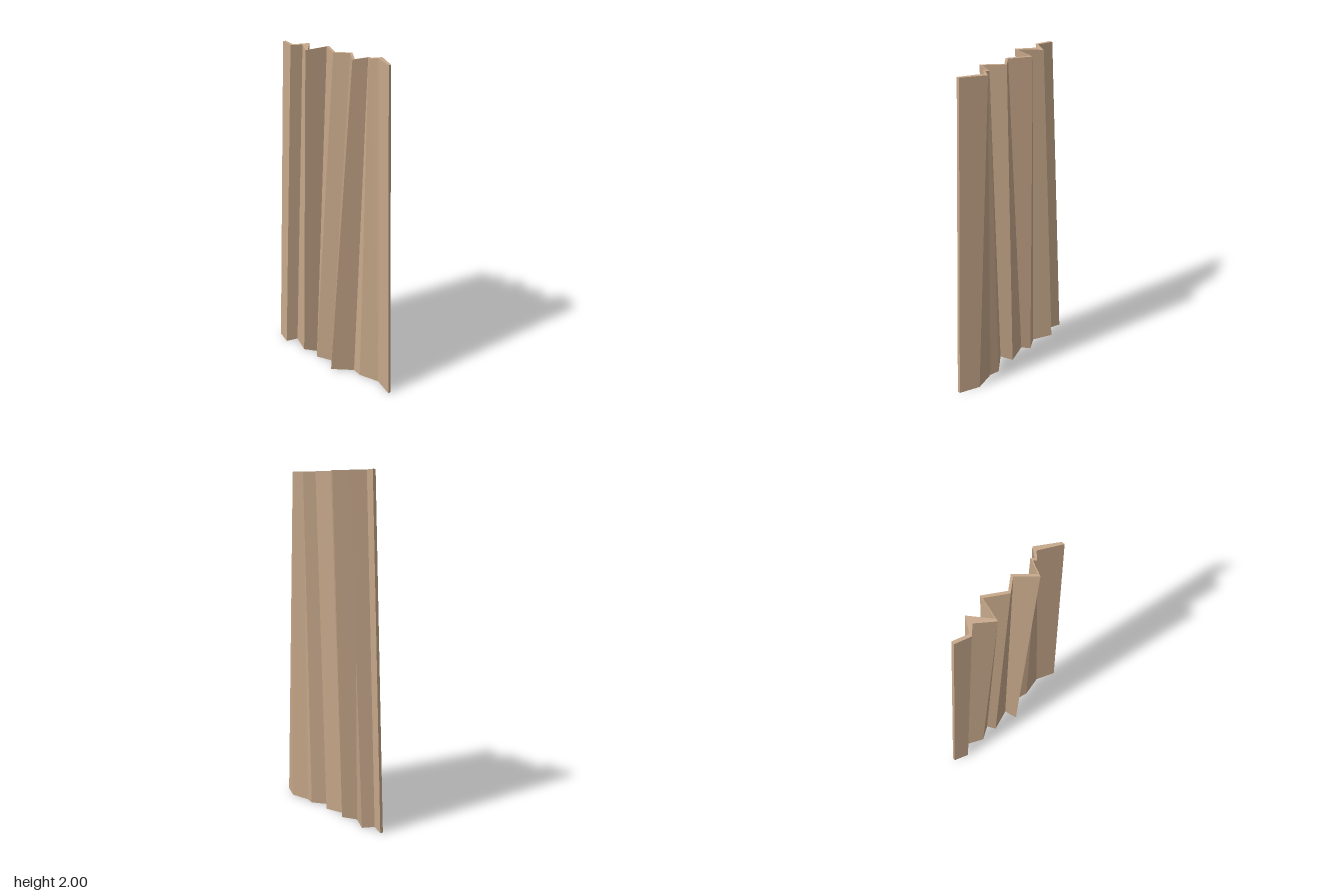
import * as THREE from 'three';

// Fold lines of the cloth from right to left: [x, front z, back z]
const topFolds = [
  [-0.345, 0.044, 0.025], [-0.258, 0.069, 0.051], [-0.213, 0.022, -0.032],
  [-0.118, 0.092, 0.074], [-0.093, -0.045, -0.063], [0.022, 0.024, 0.006],
  [0.09, -0.034, -0.052], [0.187, 0.051, 0.033], [0.217, -0.036, -0.054],
  [0.232, -0.022, -0.04], [0.265, -0.063, -0.093], [0.39, 0.001, -0.016],
];
const bottomFolds = [
  [-0.467, 0.023, 0.005], [-0.375, 0.055, 0.036], [-0.345, -0.014, -0.032],
  [-0.225, 0.04, 0.022], [-0.145, -0.01, -0.028], [-0.11, 0.039, 0.021],
  [0.02, -0.008, -0.026], [0.05, 0.071, 0.053], [0.16, -0.022, -0.04],
  [0.22, -0.01, -0.028], [0.345, -0.041, -0.06], [0.467, 0.005, -0.013],
];
const HEIGHT = 2;

function pleatedSheet() {
  const positions = [], normals = [];
  // Corners counter-clockwise as seen from outside; one even normal per panel
  const quad = (a, b, c, d) => {
    const [va, vb, vc, vd] = [a, b, c, d].map((p) => new THREE.Vector3(...p));
    const normal = vc.sub(va).cross(vd.sub(vb)).normalize();
    positions.push(...a, ...b, ...d, ...b, ...c, ...d);
    for (let k = 0; k < 6; k++) normals.push(...normal.toArray());
  };
  const corners = (i) => {
    const [bx, bf, bb] = bottomFolds[i];
    const [tx, tf, tb] = topFolds[i];
    return {
      bottomFront: [bx, 0, bf], bottomBack: [bx, 0, bb],
      topFront: [tx, HEIGHT, tf], topBack: [tx, HEIGHT, tb],
    };
  };
  const last = topFolds.length - 1;
  for (let i = 0; i < last; i++) {
    const p = corners(i), q = corners(i + 1);
    quad(p.bottomFront, q.bottomFront, q.topFront, p.topFront); // front panel
    quad(p.topBack, q.topBack, q.bottomBack, p.bottomBack);     // back panel, split like the front
    quad(p.topFront, q.topFront, q.topBack, p.topBack);         // top hem
    quad(p.bottomBack, q.bottomBack, q.bottomFront, p.bottomFront); // bottom hem
  }
  // Side hems
  const s = corners(0), e = corners(last);
  quad(s.bottomBack, s.bottomFront, s.topFront, s.topBack);
  quad(e.bottomFront, e.bottomBack, e.topBack, e.topFront);

  const geometry = new THREE.BufferGeometry();
  geometry.setAttribute('position', new THREE.Float32BufferAttribute(positions, 3));
  geometry.setAttribute('normal', new THREE.Float32BufferAttribute(normals, 3));
  return geometry;
}

export function createModel() {
  const cloth = new THREE.MeshStandardMaterial({ color: 0xc8a98b });
  cloth.name = 'tan cloth';
  const curtain = new THREE.Mesh(pleatedSheet(), cloth);
  curtain.name = 'pleatedCurtain';
  const group = new THREE.Group();
  group.name = 'curtain';
  group.add(curtain);
  return group;
}
